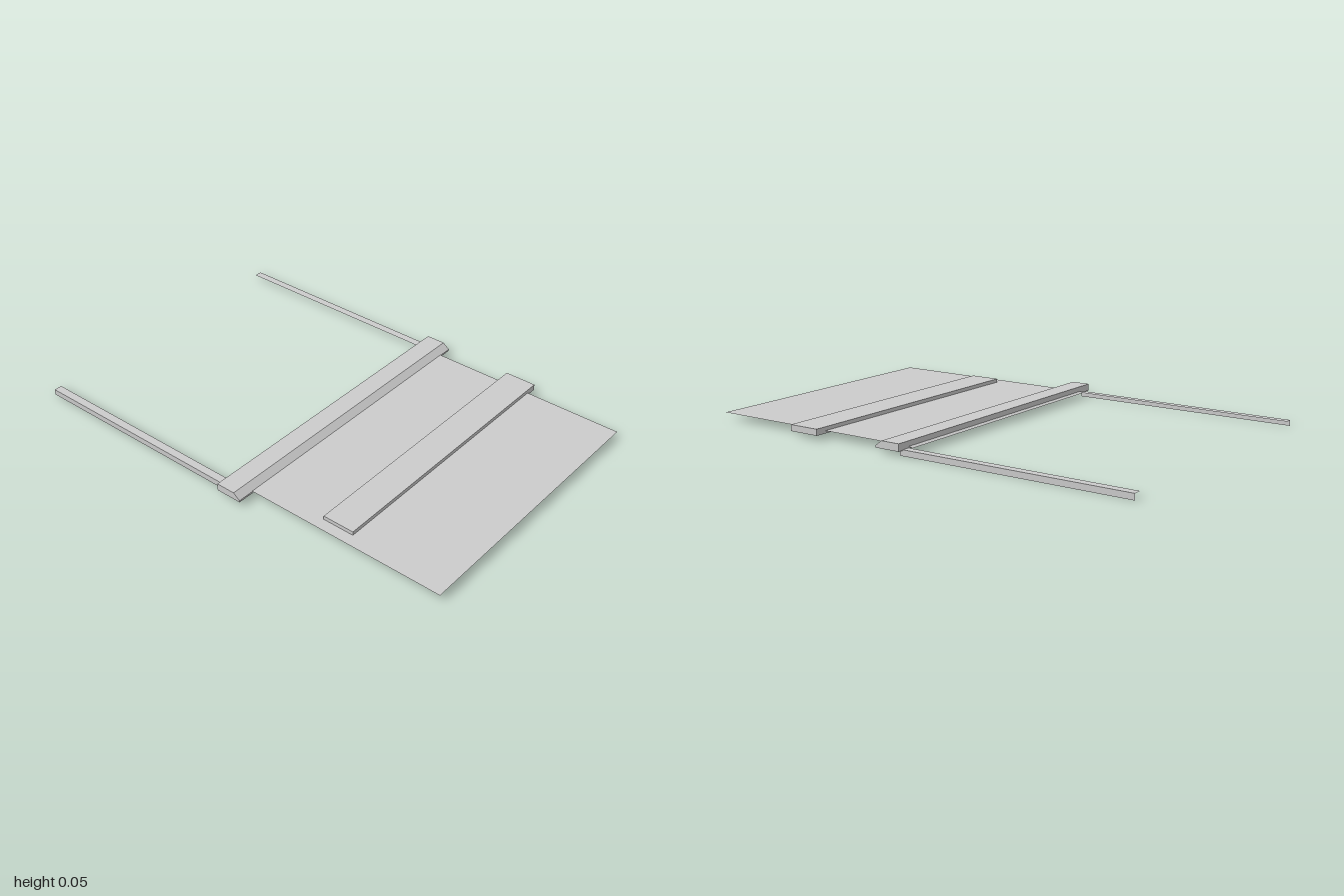
import * as THREE from 'three';

const material = new THREE.MeshStandardMaterial({
  color: 0xcccccc, flatShading: true, side: THREE.DoubleSide,
});

function addMesh(parent, name, geometry) {
  const mesh = new THREE.Mesh(geometry, material);
  mesh.name = name;
  parent.add(mesh);
  return mesh;
}

// Thin folded sheet: a [z, y] profile swept along x from x0 to x1
function foldedSheet(profile, x0, x1) {
  const positions = [];
  for (let i = 0; i < profile.length - 1; i++) {
    const [za, ya] = profile[i];
    const [zb, yb] = profile[i + 1];
    positions.push(x0, ya, za, x1, ya, za, x1, yb, zb);
    positions.push(x0, ya, za, x1, yb, zb, x0, yb, zb);
  }
  const geometry = new THREE.BufferGeometry();
  geometry.setAttribute('position', new THREE.Float32BufferAttribute(positions, 3));
  geometry.computeVertexNormals();
  return geometry;
}

export function createModel() {
  const group = new THREE.Group();

  // Thin panel with a slightly turned-down rear edge
  addMesh(group, 'panel', foldedSheet([[1, 0.031], [0, 0.031], [-0.015, 0.025]], -0.61, 0.62));

  // Low bar lying across the panel, overhanging one side
  const bar = addMesh(group, 'crossBar', new THREE.BoxGeometry(1.23, 0.027, 0.14));
  bar.position.set(0.055, 0.0335, 0.5);

  // Chamfered cover, open underneath, with closed ends
  const cover = new THREE.Group();
  cover.name = 'cover';
  group.add(cover);
  const profile = [[0.115, 0.022], [0.115, 0.03], [0.085, 0.053], [0, 0.053], [0, 0.022]];
  addMesh(cover, 'coverShell', foldedSheet(profile, -0.682, 0.682));
  const endShape = new THREE.Shape(profile.map(([z, y]) => new THREE.Vector2(-z, y)));
  for (const x of [-0.682, 0.682]) {
    const end = addMesh(cover, 'coverEnd', new THREE.ShapeGeometry(endShape));
    end.rotation.y = Math.PI / 2;
    end.position.x = x;
  }

  // Angle-section rails: top flange plus a downturned outer flange
  for (const [name, inner, outer] of [['leftRail', 0.623, 0.658], ['rightRail', -0.61, -0.645]]) {
    const rail = new THREE.Group();
    rail.name = name;
    group.add(rail);
    const top = addMesh(rail, 'topFlange', new THREE.PlaneGeometry(0.035, 1.015));
    top.rotation.x = -Math.PI / 2;
    top.position.set((inner + outer) / 2, 0.025, -0.4925);
    const side = addMesh(rail, 'outerFlange', new THREE.PlaneGeometry(1.015, 0.025));
    side.rotation.y = Math.sign(outer) * Math.PI / 2;
    side.position.set(outer, 0.0125, -0.4925);
  }

  return group;
}
